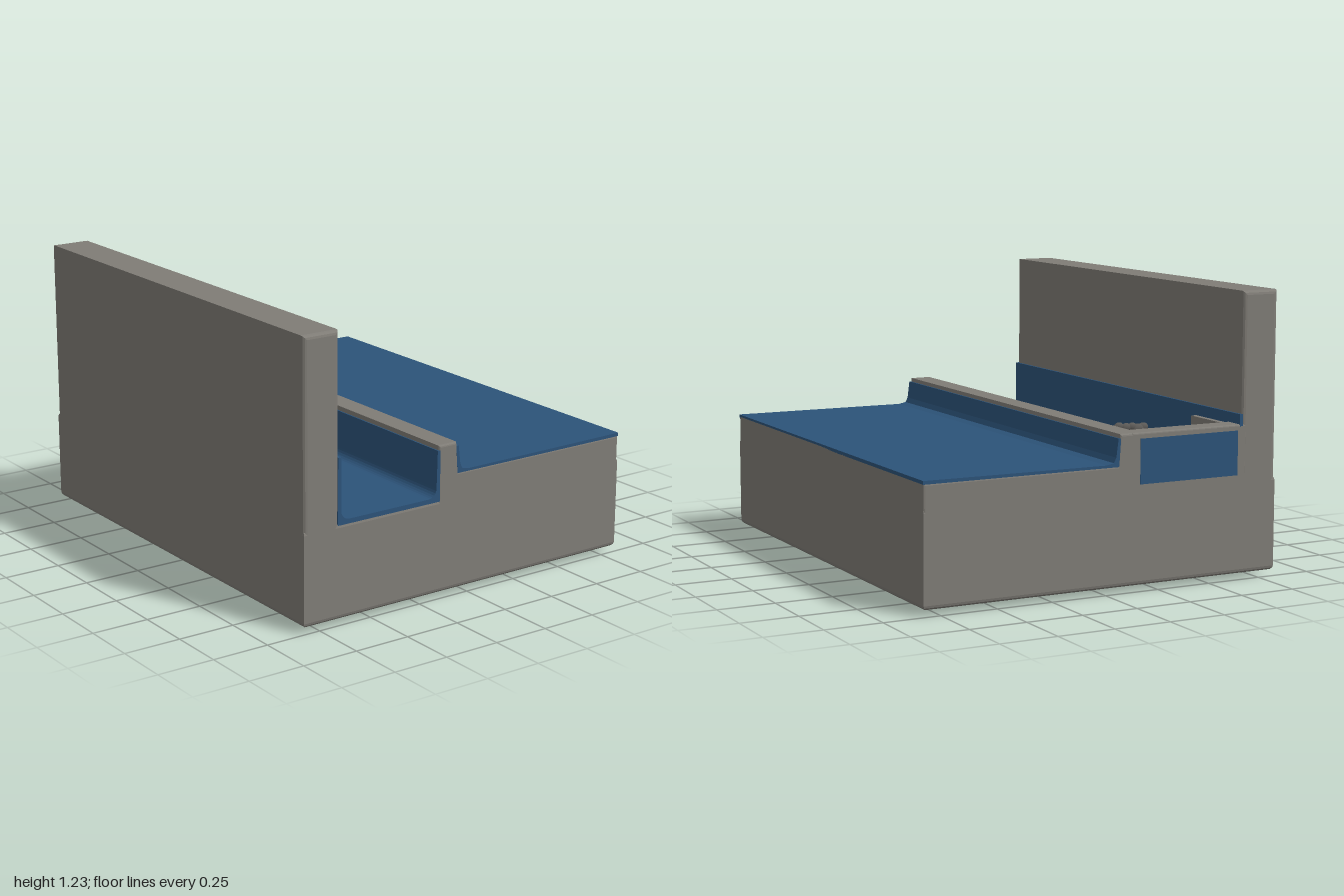
import * as THREE from 'three';

const mat = (name, color, side = THREE.FrontSide) => {
  const m = new THREE.MeshStandardMaterial({ color, side });
  m.name = name;
  return m;
};

export function createModel() {
  const group = new THREE.Group();
  const grey = mat('bodyGrey', 0x7f7c76);
  const blue = mat('linerBlue', 0x2c5379, THREE.DoubleSide);
  const dark = mat('fittingGrey', 0x5c5a57, THREE.DoubleSide);

  const add = (name, geometry, material, x = 0, y = 0, z = 0) => {
    const mesh = new THREE.Mesh(geometry, material);
    mesh.name = name;
    mesh.position.set(x, y, z);
    group.add(mesh);
    return mesh;
  };
  const bevelled = (shape, length, b) => new THREE.ExtrudeGeometry(shape, {
    depth: length - 2 * b, bevelEnabled: b > 0, bevelSize: b, bevelThickness: b,
    bevelOffset: -b, bevelSegments: 3, curveSegments: 12,
  }).translate(0, 0, b);
  // side profile given as [z, y] points, swept along x
  const sweep = (pts, x0, x1, b = 0) => {
    const shape = new THREE.Shape(pts.map(([z, y]) => new THREE.Vector2(-z, y)));
    return bevelled(shape, x1 - x0, b).rotateY(Math.PI / 2).translate(x0, 0, 0);
  };
  // flat plan shape raised along y
  const raise = (shape, y0, y1, b = 0) =>
    bevelled(shape, y1 - y0, b).rotateX(-Math.PI / 2).translate(0, y0, 0);
  const rect = (x0, x1, z0, z1) => new THREE.Shape([
    [x0, -z1], [x1, -z1], [x1, -z0], [x0, -z0]].map(p => new THREE.Vector2(...p)));
  const punch = (shape, x, z, r) => {
    shape.holes.push(new THREE.Path().absarc(x, -z, r, 0, Math.PI * 2, true));
    return shape;
  };
  const box = (name, m, x0, x1, y0, y1, z0, z1) => add(name,
    new THREE.BoxGeometry(x1 - x0, y1 - y0, z1 - z0), m,
    (x0 + x1) / 2, (y0 + y1) / 2, (z0 + z1) / 2);

  const DX = -0.77, DZ = 0.4; // drain centre

  // Main masses
  add('base', raise(punch(rect(-1, 1, -0.825, 0.825), DX, DZ, 0.06), 0.025, 0.435, 0.02), grey);
  add('counterBlock', sweep([[-0.825, 0.2], [-0.825, 0.535], [0.05, 0.535], [0.065, 0.665],
    [0.158, 0.665], [0.158, 0.2]], -1, 1, 0.01), grey);
  add('frontWall', sweep([[0.655, 0.2], [0.655, 1.225], [0.825, 1.225], [0.825, 0.2]], -1, 1, 0.018), grey);
  add('endWall', sweep([[0.12, 0.3], [0.12, 0.665], [0.68, 0.665], [0.68, 0.3]], -1, -0.905, 0.008), grey);

  // Blue counter sheet, turned up against the ridge
  add('counterSheet', sweep([[-0.825, 0.53], [-0.825, 0.545], [0, 0.541], [0.035, 0.548], [0.046, 0.57],
    [0.056, 0.648], [0.068, 0.648], [0.06, 0.53]], -1, 1), blue);

  // Blue channel liner with rounded inner corners
  const liner = [[0.15, 0.645], [0.15, 0.425], [0.66, 0.425], [0.66, 0.708], [0.645, 0.708]];
  const fillet = (z, y, r, from, to) => {
    for (let i = 0; i <= 6; i++) {
      const a = from + (to - from) * i / 6;
      liner.push([z + r * Math.cos(a), y + r * Math.sin(a)]);
    }
  };
  fillet(0.605, 0.485, 0.04, 0, -Math.PI / 2);
  fillet(0.208, 0.485, 0.04, -Math.PI / 2, -Math.PI);
  liner.push([0.164, 0.645]);
  add('channelLiner', sweep(liner, -0.66, 1), blue);
  box('linerUpstand', blue, -1, -0.66, 0.655, 0.708, 0.645, 0.66);
  box('ridgeLinerEnd', blue, -0.91, -0.66, 0.43, 0.645, 0.152, 0.163);
  box('endPanel', blue, -1.002, -0.996, 0.45, 0.64, 0.16, 0.635);

  // Grey drain tray at the closed end of the channel
  add('trayFloor', raise(punch(rect(-0.91, -0.66, 0.158, 0.655), DX, DZ, 0.06), 0.425, 0.445), grey);
  box('traySideFront', grey, -0.91, -0.66, 0.43, 0.66, 0.62, 0.657);
  box('traySideBack', grey, -0.91, -0.66, 0.43, 0.655, 0.156, 0.172);

  // Drain: dished ring, strainer with holes, shaft and lower flange
  const lathe = pts => new THREE.LatheGeometry(pts.map(p => new THREE.Vector2(...p)), 32);
  add('drainRing', lathe([[0.107, 0.44], [0.105, 0.45], [0.09, 0.456], [0.065, 0.448], [0.05, 0.438]]),
    dark, DX, 0, DZ);
  const strainer = new THREE.Shape().absarc(0, 0, 0.062, 0, Math.PI * 2);
  for (let i = 0; i < 4; i++) {
    const a = Math.PI / 4 + i * Math.PI / 2;
    punch(strainer, 0.029 * Math.cos(a), 0.029 * Math.sin(a), 0.014);
  }
  add('strainer', raise(strainer, 0.43, 0.44), dark, DX, 0, DZ);
  add('drainShaft', new THREE.CylinderGeometry(0.058, 0.058, 0.42, 32, 1, true), grey, DX, 0.23, DZ)
    .material = dark;
  add('drainFlange', lathe([[0.106, 0.04], [0.106, 0.008], [0.1, 0.002], [0.068, 0.002], [0.058, 0.012],
    [0.058, 0.04]]), dark, DX, 0, DZ);

  // Feet
  for (const x of [-0.775, 0.775]) for (const z of [-0.67, 0.67])
    add('foot', lathe([[0, 0], [0.058, 0], [0.066, 0.008], [0.066, 0.04]]), dark, x, 0, z);

  // Small knobbly spout over the channel
  const lumps = [[0.42, 0.615, 0.022], [0.395, 0.605, 0.03], [0.365, 0.62, 0.02],
    [0.335, 0.618, 0.022], [0.3, 0.625, 0.02], [0.285, 0.624, 0.013]];
  for (const [z, y, r] of lumps)
    add('spoutLump', new THREE.SphereGeometry(r, 10, 8).scale(0.6, 0.9, 1.15), dark, -0.59, y, z);

  return group;
}
